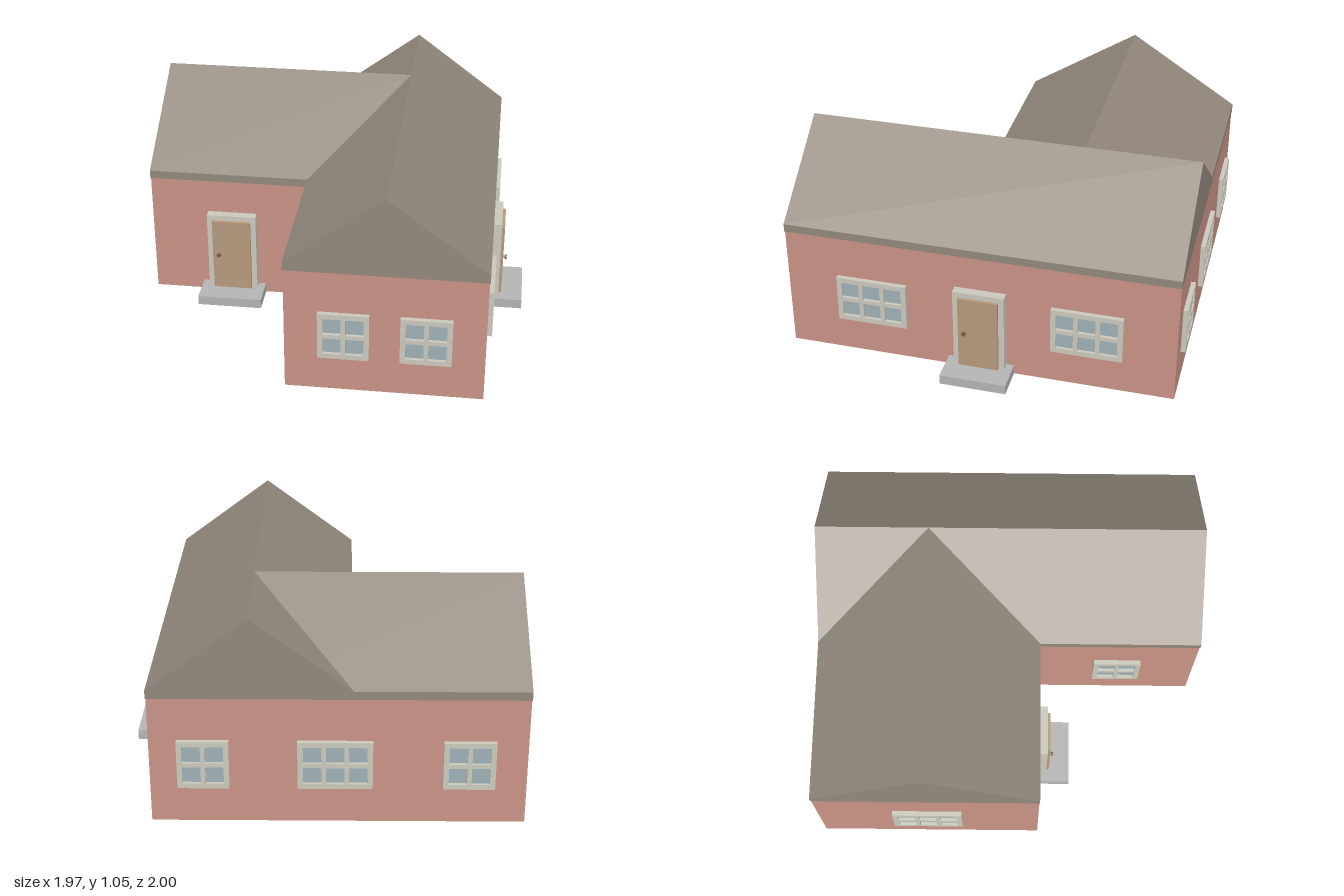
import * as THREE from 'three';

const paint = (color, side = THREE.FrontSide) => new THREE.MeshStandardMaterial({ color, side, flatShading: true });

// Plan of the L-shaped house
const LEFT = -0.96, INNER = -0.14, RIGHT = 0.817, BACK = -0.975, NOTCH = 0.155, FRONT = 0.975;
const EAVE = 0.65, BAND = 0.692, RIDGE = 1.053;
const FACING = { front: 0, right: Math.PI / 2, back: Math.PI, left: -Math.PI / 2 };

export function createModel() {
  const house = new THREE.Group();
  house.name = 'house';
  const wallMat = paint(0xc99386, THREE.DoubleSide);
  const roofMat = paint(0x91877b);
  const frameMat = paint(0xcbc9bd);
  const glassMat = paint(0x9db0b6);
  const doorMat = paint(0xb59a7c);
  const knobMat = paint(0x7a6048);
  const stepMat = paint(0xb4b4b4, THREE.DoubleSide);

  const add = (parent, name, geometry, material, x = 0, y = 0, z = 0) => {
    const mesh = new THREE.Mesh(geometry, material);
    mesh.name = name;
    mesh.position.set(x, y, z);
    parent.add(mesh);
    return mesh;
  };
  const mount = (name, facing, x, z) => {
    const group = new THREE.Group();
    group.name = name;
    group.position.set(x, 0, z);
    group.rotation.y = FACING[facing];
    house.add(group);
    return group;
  };

  // Walls: one thin panel per side, open underneath
  const plan = [[LEFT, NOTCH], [INNER, NOTCH], [INNER, FRONT], [RIGHT, FRONT], [RIGHT, BACK], [LEFT, BACK]];
  plan.forEach(([x0, z0], i) => {
    const [x1, z1] = plan[(i + 1) % plan.length];
    const panel = add(house, 'wall', new THREE.PlaneGeometry(Math.hypot(x1 - x0, z1 - z0), EAVE), wallMat,
      (x0 + x1) / 2, EAVE / 2, (z0 + z1) / 2);
    panel.rotation.y = Math.atan2(z0 - z1, x1 - x0);
  });

  // Ceiling closing the walls below the roof
  const ceilingShape = new THREE.Shape(plan.map(([x, z]) => new THREE.Vector2(x, z)));
  add(house, 'ceiling', new THREE.ShapeGeometry(ceilingShape).rotateX(Math.PI / 2), wallMat, 0, EAVE - 0.002, 0);

  // Gabled roofs: a pentagon profile with a narrow eave band
  const gable = (halfWidth, length) => new THREE.ExtrudeGeometry(new THREE.Shape([
    new THREE.Vector2(-halfWidth, EAVE), new THREE.Vector2(halfWidth, EAVE), new THREE.Vector2(halfWidth, BAND),
    new THREE.Vector2(0, RIDGE), new THREE.Vector2(-halfWidth, BAND),
  ]), { depth: length, bevelEnabled: false });
  const over = 0.003;
  const ridgeX = (INNER + RIGHT) / 2, ridgeZ = (BACK + NOTCH) / 2;
  add(house, 'mainRoof', gable((RIGHT - INNER) / 2 + over, FRONT - BACK + 2 * over), roofMat, ridgeX, 0, BACK - over);
  add(house, 'wingRoof', gable((NOTCH - BACK) / 2 + over, ridgeX - LEFT + over), roofMat, LEFT - over, 0, ridgeZ)
    .rotation.y = Math.PI / 2;

  // Windows: a frame with two rows of recessed panes
  const addWindow = (facing, x, z, columns) => {
    const group = mount('window', facing, x, z);
    const pane = 0.086, bar = 0.022, border = 0.026, pitch = pane + bar;
    const w = columns * pitch - bar + 2 * border, h = 2 * pitch - bar + 2 * border;
    const rect = (Path, x0, y0, a, b) => new Path([[x0, y0], [x0 + a, y0], [x0 + a, y0 + b], [x0, y0 + b]]
      .map(([px, py]) => new THREE.Vector2(px, py)));
    const outline = rect(THREE.Shape, -w / 2, -h / 2, w, h);
    for (let c = 0; c < columns; c++) {
      for (let r = 0; r < 2; r++) {
        outline.holes.push(rect(THREE.Path, -w / 2 + border + c * pitch, -h / 2 + border + r * pitch, pane, pane));
      }
    }
    add(group, 'windowFrame', new THREE.ExtrudeGeometry(outline, { depth: 0.024, bevelEnabled: false }), frameMat, 0, 0.312, 0);
    add(group, 'windowGlass', new THREE.PlaneGeometry(w - border, h - border), glassMat, 0, 0.312, 0.008);
  };
  [
    ['front', 0.145, FRONT, 2], ['front', 0.537, FRONT, 2],
    ['right', RIGHT, 0.54, 3], ['right', RIGHT, -0.54, 3],
    ['back', -0.687, BACK, 2], ['back', -0.057, BACK, 3], ['back', 0.563, BACK, 2],
    ['left', LEFT, -0.413, 3], ['left', INNER, 0.567, 2],
  ].forEach((spec) => addWindow(...spec));

  // Doors: surround, leaf, knob and a hollow doorstep reaching under the wall
  const addDoor = (facing, x, z) => {
    const group = mount('door', facing, x, z);
    const base = 0.05, top = 0.472, w = 0.256, trim = 0.028, depth = 0.045;
    for (const side of [-1, 1]) {
      add(group, 'doorJamb', new THREE.BoxGeometry(trim, top - base, depth), frameMat,
        side * (w - trim) / 2, (base + top) / 2, depth / 2);
    }
    add(group, 'doorLintel', new THREE.BoxGeometry(w - 2 * trim, trim, depth), frameMat, 0, top - trim / 2, depth / 2);
    add(group, 'doorLeaf', new THREE.BoxGeometry(w - 2 * trim, top - trim - base, 0.06), doorMat,
      0, (base + top - trim) / 2, 0.03);
    add(group, 'knobStem', new THREE.CylinderGeometry(0.006, 0.006, 0.014, 10).rotateX(Math.PI / 2), knobMat, -0.067, 0.25, 0.064);
    add(group, 'doorKnob', new THREE.CylinderGeometry(0.011, 0.011, 0.01, 12).rotateX(Math.PI / 2), knobMat, -0.067, 0.25, 0.073);

    const step = new THREE.BoxGeometry(0.333, base, 0.268);
    const faces = Array.from(step.index.array);
    faces.splice(18, 6); // open underside
    step.clearGroups();
    step.setIndex(faces);
    add(group, 'doorstep', step, stepMat, 0, base / 2, 0.034);
  };
  addDoor('front', -0.537, NOTCH);
  addDoor('right', RIGHT, -0.011);

  return house;
}
